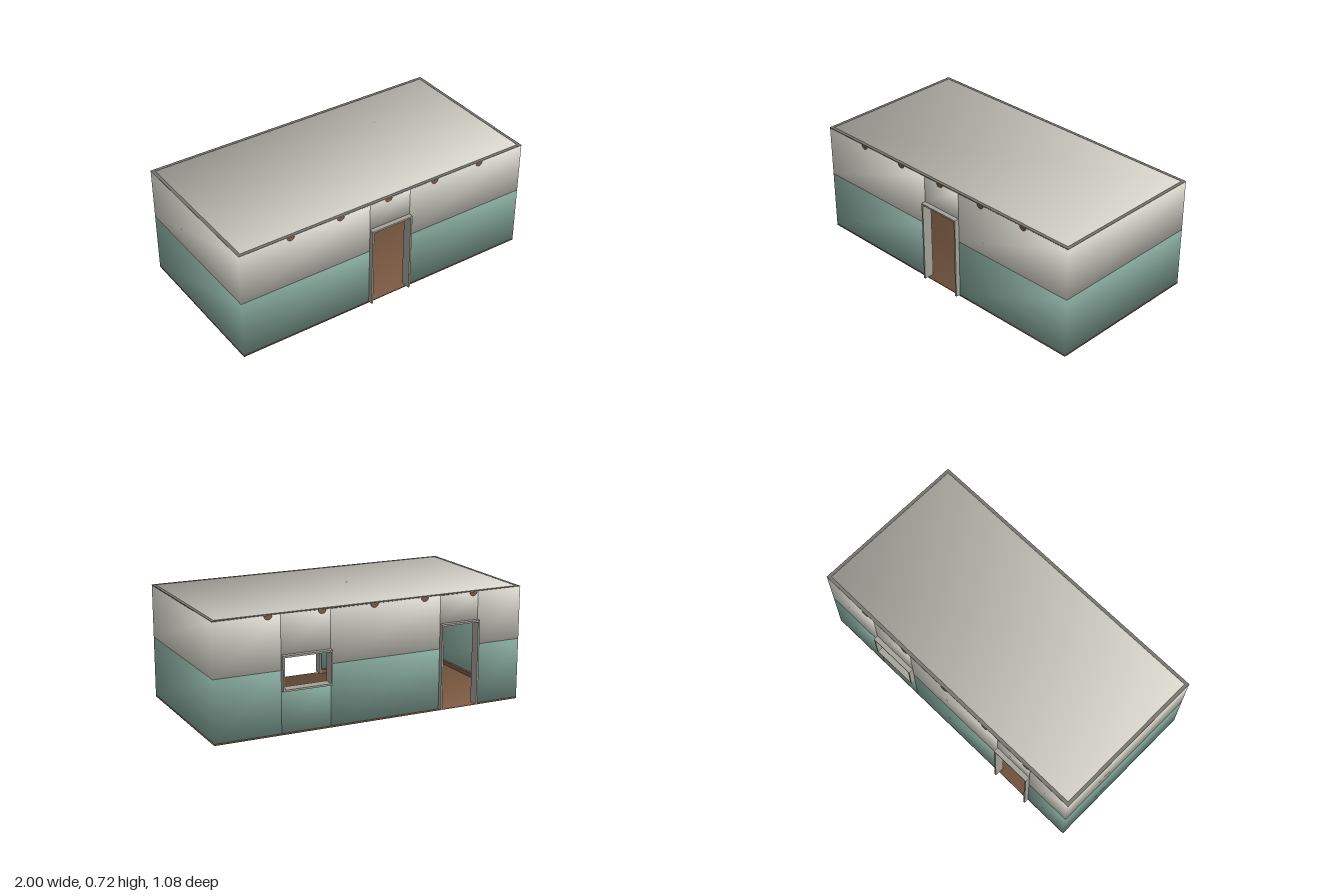
import * as THREE from 'three';

const mat = (name, hex) => {
  const m = new THREE.MeshStandardMaterial({ color: hex });
  m.name = name;
  return m;
};

export function createModel() {
  const room = new THREE.Group();
  room.name = 'room';
  const cream = mat('cream plaster', 0xdcdad0);
  const green = mat('sage green', 0x84a69b);
  const wood = mat('brown wood', 0x805c44);
  const grey = mat('grey frame', 0xa4a39a);
  const dark = mat('dark trim', 0x74736c);

  // Box given by its limits; soft boxes share one rounded normal per corner
  function box(name, material, [x0, x1], [y0, y1], [z0, z1], soft = true, parent = room) {
    const g = new THREE.BoxGeometry(x1 - x0, y1 - y0, z1 - z0);
    if (soft) {
      const p = g.attributes.position, n = g.attributes.normal, k = 1 / Math.sqrt(3);
      for (let i = 0; i < p.count; i++) {
        n.setXYZ(i, Math.sign(p.getX(i)) * k, Math.sign(p.getY(i)) * k, Math.sign(p.getZ(i)) * k);
      }
    }
    const mesh = new THREE.Mesh(g, material);
    mesh.name = name;
    mesh.position.set((x0 + x1) / 2, (y0 + y1) / 2, (z0 + z1) / 2);
    parent.add(mesh);
    return mesh;
  }

  const W = 1, D = 0.51, T = 0.02, BASE = 0.01, RAIL = 0.385, TOP = 0.714;
  const front = [D - T, D], back = [-D, -D + T];

  // Two-tone wall section: green below the rail, cream above, skipping an opening
  function section(name, xs, zs, gap) {
    const spans = gap ? [[BASE, gap[0]], [gap[1], TOP]] : [[BASE, TOP]];
    for (const [a, b] of spans) {
      if (a < RAIL && b > a) box(name + 'Lower', green, xs, [a, Math.min(b, RAIL)], zs);
      if (b > RAIL) box(name + 'Upper', cream, xs, [Math.max(a, RAIL), b], zs);
    }
  }

  // Floor and roof
  box('floor', wood, [-W, W], [0, BASE], [-D, D]);
  box('roof', cream, [-W + T, W - T], [0.7, 0.715], [-D + T, D - T]);

  // Openings: door in front, door and window at the back
  const doorY = [BASE, 0.54], windowY = [0.265, 0.475];
  const frontDoor = [-0.13, 0.155], backDoor = [-0.7, -0.44], backWindow = [0.28, 0.59];
  const E = W - 0.001;

  section('frontWall', [-E, frontDoor[0]], front);
  section('frontWallOverDoor', frontDoor, front, doorY);
  section('frontWall', [frontDoor[1], E], front);
  section('backWall', [-E, backDoor[0]], back);
  section('backWallOverDoor', backDoor, back, doorY);
  section('backWall', [backDoor[1], backWindow[0]], back);
  section('backWallAtWindow', backWindow, back, windowY);
  section('backWall', [backWindow[1], E], back);
  for (const s of [-1, 1]) {
    section('sideWall', s > 0 ? [W - T, W] : [-W, -W + T], [-D + 0.001, D - 0.001]);
  }

  // Frames projecting through the wall
  function frame(name, [x0, x1], [y0, y1], side, sill) {
    const g = new THREE.Group(), t = 0.011;
    g.name = name;
    const zs = side > 0 ? [0.475, 0.54] : [-0.54, -0.475];
    box('jamb', grey, [x0, x0 + t], [y0, y1], zs, false, g);
    box('jamb', grey, [x1 - t, x1], [y0, y1], zs, false, g);
    box('head', grey, [x0 + t, x1 - t], [y1 - t, y1], zs, false, g);
    if (sill) box('sill', grey, [x0 + t, x1 - t], [y0, y0 + t], zs, false, g);
    room.add(g);
  }
  frame('frontDoorFrame', frontDoor, doorY, 1, false);
  frame('backDoorFrame', backDoor, doorY, -1, false);
  frame('windowFrame', backWindow, windowY, -1, true);

  // Dark coping along the wall tops
  for (const s of [-1, 1]) {
    const z = s > 0 ? front : back;
    box('coping', dark, [-W, W], [TOP - 0.003, 0.7155], z, false);
    const x = s > 0 ? [W - T, W] : [-W, -W + T];
    box('coping', dark, x, [TOP - 0.003, 0.7155], [-D + T, D - T], false);
  }

  // Half-round ceiling beams with ends showing through the walls
  for (let i = -2; i <= 2; i++) {
    const g = new THREE.CylinderGeometry(0.025, 0.025, 2 * D + 0.003, 10, 1, false, -Math.PI / 2, Math.PI);
    g.rotateX(Math.PI / 2);
    const beam = new THREE.Mesh(g, wood);
    beam.name = 'ceilingBeam';
    beam.position.set(i / 3, 0.712, 0);
    room.add(beam);
  }

  // Inner skirting and dado rail, broken at the doors
  function rails(xs, side, dado = true) {
    const span = (d) => (side > 0 ? [D - T - d, D - T] : [-D + T, -D + T + d]);
    box('skirting', wood, xs, [BASE, 0.035], span(0.015), false);
    if (dado) box('dadoRail', dark, xs, [0.38, 0.39], span(0.006), false);
  }
  const I = W - T;
  rails([-I, frontDoor[0]], 1);
  rails([frontDoor[1], I], 1);
  rails([-I, backDoor[0]], -1);
  rails([backDoor[1], backWindow[0]], -1);
  rails(backWindow, -1, false);
  rails([backWindow[1], I], -1);
  for (const s of [-1, 1]) {
    const span = (d) => (s > 0 ? [I - d, I] : [-I, -I + d]);
    box('skirting', wood, span(0.015), [BASE, 0.035], [-D + T, D - T], false);
    box('dadoRail', dark, span(0.006), [0.38, 0.39], [-D + T, D - T], false);
  }
  return room;
}
